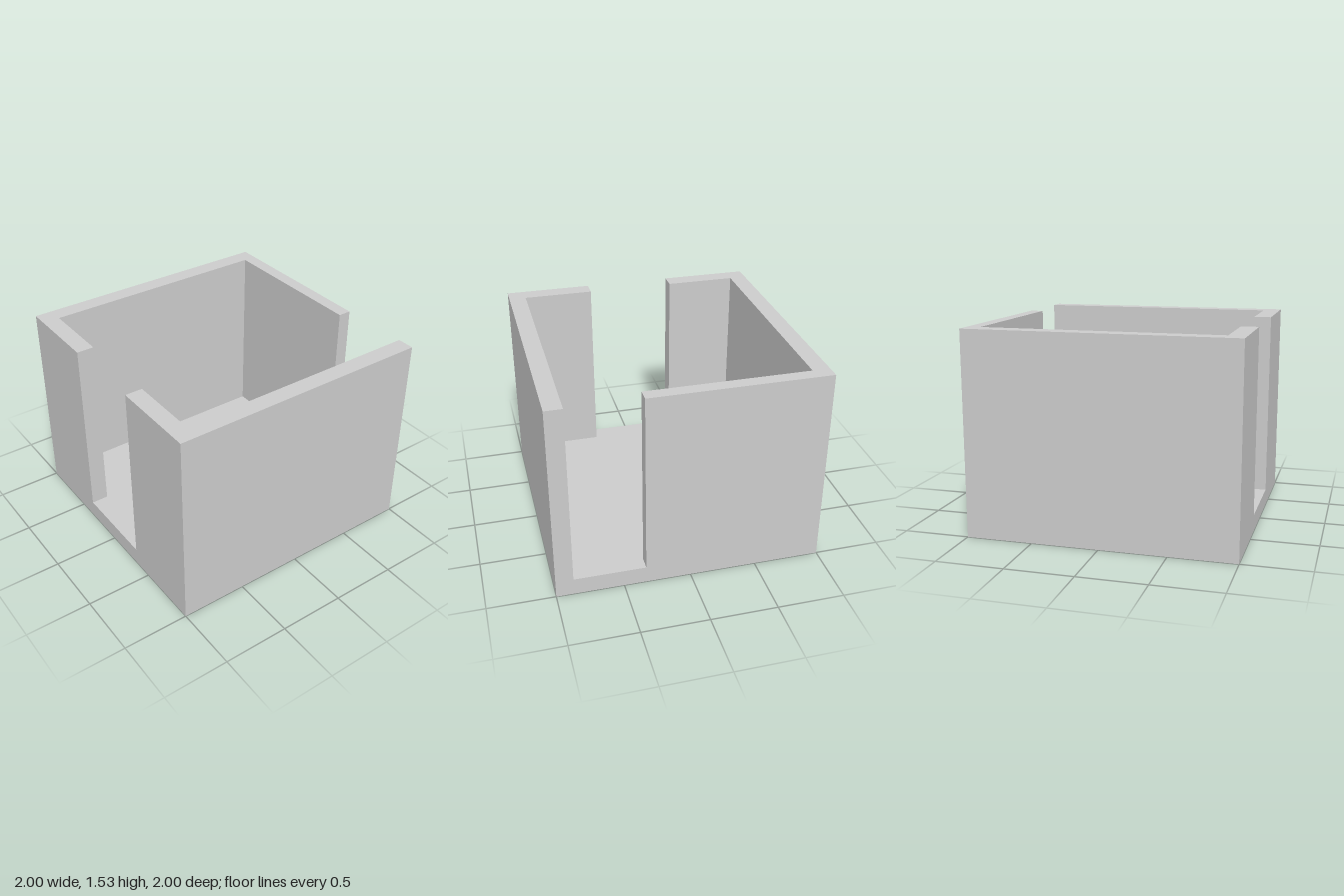
import * as THREE from 'three';

const HEIGHT = 1.53, FLOOR = 0.13;

export function createModel() {
  const group = new THREE.Group();
  const material = new THREE.MeshStandardMaterial({ color: 0xcccccc, flatShading: true });

  // Extrudes a plan outline of [x, z] points upward from y0 to y1
  function addPlan(name, points, y0, y1) {
    const shape = new THREE.Shape(points.map(([x, z]) => new THREE.Vector2(x, -z)));
    const geometry = new THREE.ExtrudeGeometry(shape, { depth: y1 - y0, bevelEnabled: false });
    geometry.rotateX(-Math.PI / 2).translate(0, y0, 0);
    const mesh = new THREE.Mesh(geometry, material);
    mesh.name = name;
    group.add(mesh);
  }

  // Floor slab
  addPlan('floor', [[-1, 1], [1, 1], [1, -1], [-1, -1]], 0, FLOOR);

  // C-shaped wall: front return, side and long back wall
  addPlan('rightWall', [
    [-1, 1], [-0.335, 1], [-0.335, 0.87], [-0.87, 0.87],
    [-0.87, -0.9], [0.335, -0.9], [0.335, -1], [-1, -1],
  ], FLOOR, HEIGHT);

  // L-shaped wall: front return and side, leaving a doorway at the back
  addPlan('leftWall', [
    [0.335, 1], [1, 1], [1, -1], [0.87, -1], [0.87, 0.87], [0.335, 0.87],
  ], FLOOR, HEIGHT);

  return group;
}
